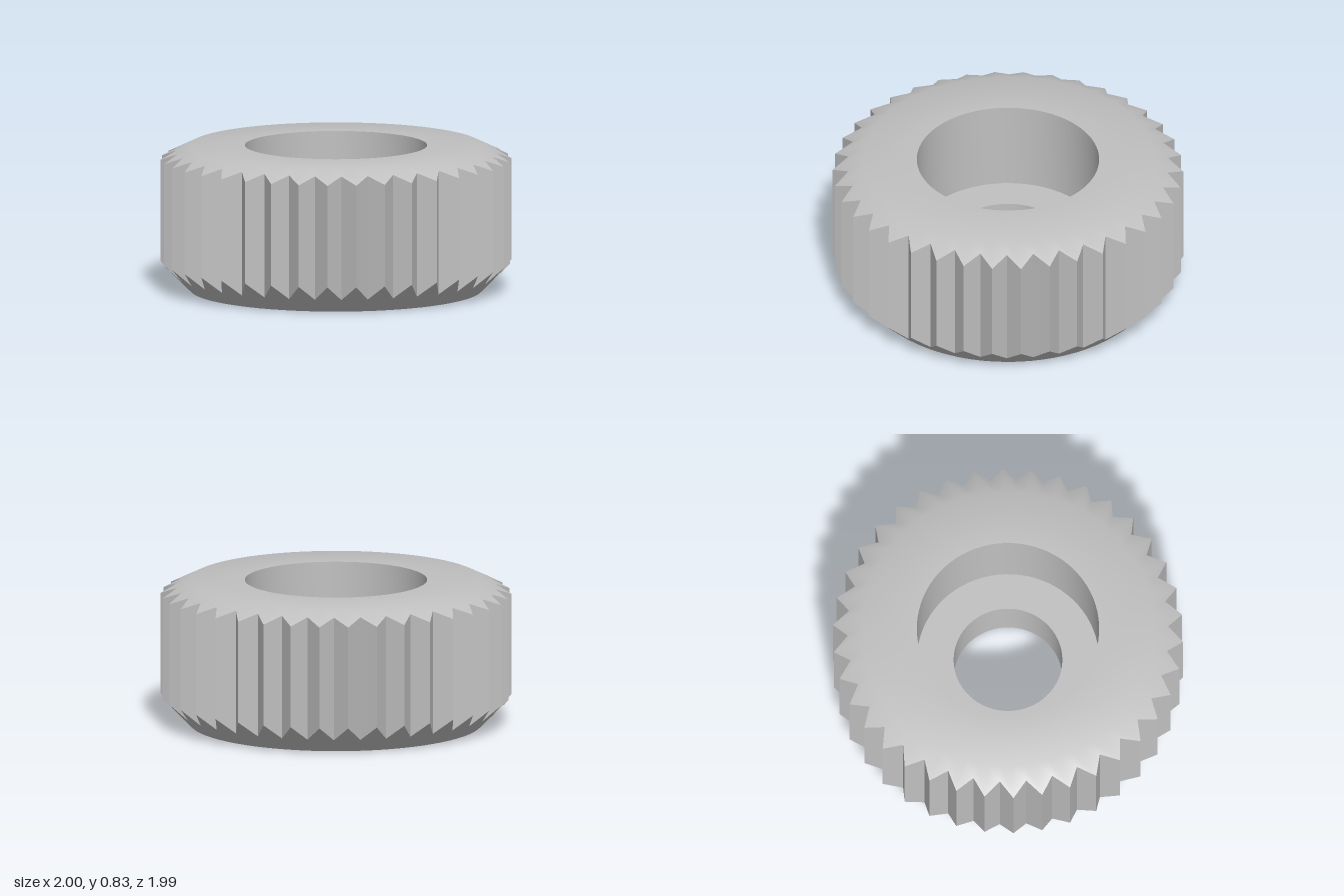
import * as THREE from 'three';
import { toCreasedNormals } from 'three/addons/utils/BufferGeometryUtils.js';

const TEETH = 38;
const STEPS = TEETH * 2;   // one tip and one valley per tooth
const HEIGHT = 0.83;
const FLAT = 0.835;        // radius of the flat end faces
const HOLE = 0.31;         // through hole radius
const BORE = 0.52;         // counterbore radius
const LEDGE = 0.31;        // counterbore floor height

const toothRadius = (i) => (i % 2 === 0 ? 1 : 0.914);

// Joins rings, each a rule giving [radius, y] at step i, into a closed-round surface
function loft(rings) {
  const pos = [];
  const point = (ring, i) => {
    const k = i % STEPS;
    const [r, y] = ring(k);
    const a = (k / STEPS) * Math.PI * 2;
    return [r * Math.cos(a), y, r * Math.sin(a)];
  };
  for (let j = 0; j < rings.length - 1; j++) {
    for (let i = 0; i < STEPS; i++) {
      const a = point(rings[j], i);
      const b = point(rings[j + 1], i);
      const c = point(rings[j + 1], i + 1);
      const d = point(rings[j], i + 1);
      pos.push(...a, ...b, ...c, ...a, ...c, ...d);
    }
  }
  const geo = new THREE.BufferGeometry();
  geo.setAttribute('position', new THREE.Float32BufferAttribute(pos, 3));
  return toCreasedNormals(geo, 0.56);
}

const circle = (r, y) => () => [r, y];

export function createModel() {
  const steel = new THREE.MeshStandardMaterial({ color: 0xc0c0c0 });
  steel.name = 'steel grey';
  const group = new THREE.Group();
  group.name = 'toothedWheel';

  const add = (name, rings) => {
    const mesh = new THREE.Mesh(loft(rings), steel);
    mesh.name = name;
    group.add(mesh);
  };

  // Flat ends, steep lower chamfer, teeth and shallow upper chamfer
  add('toothedBody', [
    circle(HOLE, 0),
    circle(FLAT, 0),
    (i) => [toothRadius(i), toothRadius(i) - FLAT],
    (i) => [toothRadius(i), HEIGHT - (toothRadius(i) - FLAT) * 0.48],
    circle(FLAT, HEIGHT),
    circle(BORE, HEIGHT),
  ]);

  // Wide counterbore, its ledge, and the narrow through hole
  add('steppedBore', [
    circle(BORE, HEIGHT),
    circle(BORE, LEDGE),
    circle(HOLE, LEDGE),
    circle(HOLE, 0),
  ]);

  return group;
}
